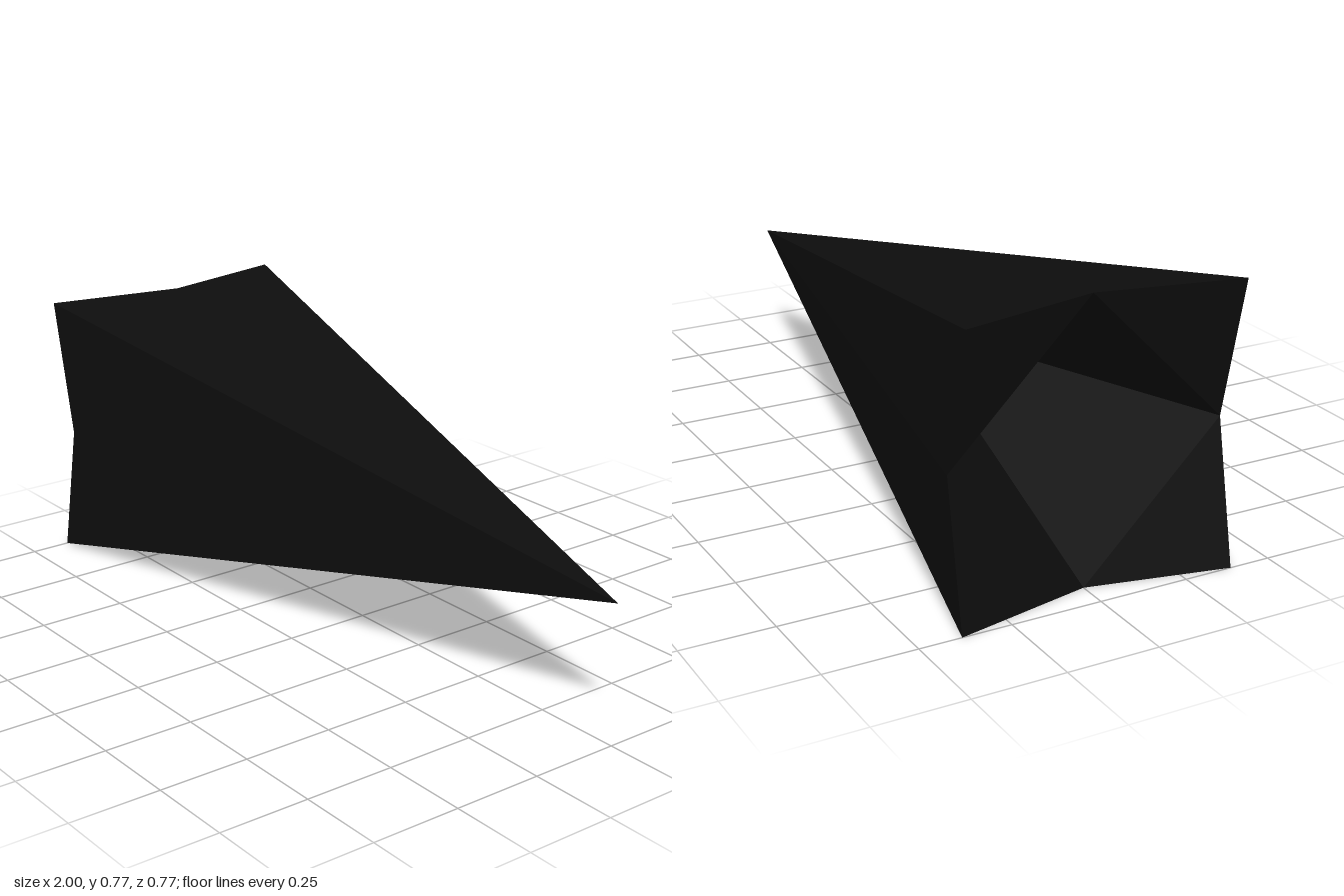
import * as THREE from 'three';

const HALF = 0.385;      // half width of the square tail
const CORNER_X = -1;     // swept-back corners
const MIDDLE_X = -0.92;  // notched middles of the tail edges

const black = new THREE.MeshStandardMaterial({ color: 0x0d0d0d });
black.name = 'black';

// Flat-shaded mesh from a list of triangles, each three Vector3 corners
function facets(name, triangles) {
  const geometry = new THREE.BufferGeometry().setFromPoints(triangles.flat());
  geometry.computeVertexNormals();
  const mesh = new THREE.Mesh(geometry, black);
  mesh.name = name;
  return mesh;
}

export function createModel() {
  const group = new THREE.Group();
  group.name = 'dart';

  // Tail outline: edge middles and corners alternate around the square
  const ring = [];
  for (let i = 0; i < 8; i++) {
    const angle = (i * Math.PI) / 4;
    const corner = i % 2 === 1;
    const radius = corner ? HALF * Math.SQRT2 : HALF;
    ring.push(new THREE.Vector3(
      corner ? CORNER_X : MIDDLE_X,
      HALF + radius * Math.cos(angle),
      radius * Math.sin(angle)
    ));
  }
  const tip = new THREE.Vector3(1, HALF, 0);
  const pit = new THREE.Vector3(0.03, HALF, 0);

  const body = [], fins = [], hollow = [];
  for (let i = 0; i < 8; i++) {
    const next = ring[(i + 1) % 8];
    body.push([tip, ring[i], next]);
    if (i % 2 === 0) {
      const nextMiddle = ring[(i + 2) % 8];
      fins.push([nextMiddle, next, ring[i]]);
      hollow.push([pit, nextMiddle, ring[i]]);
    }
  }

  // Long pointed body, corner backs and the deep hollow in the tail
  group.add(facets('body', body), facets('tailCorners', fins), facets('tailHollow', hollow));
  return group;
}
